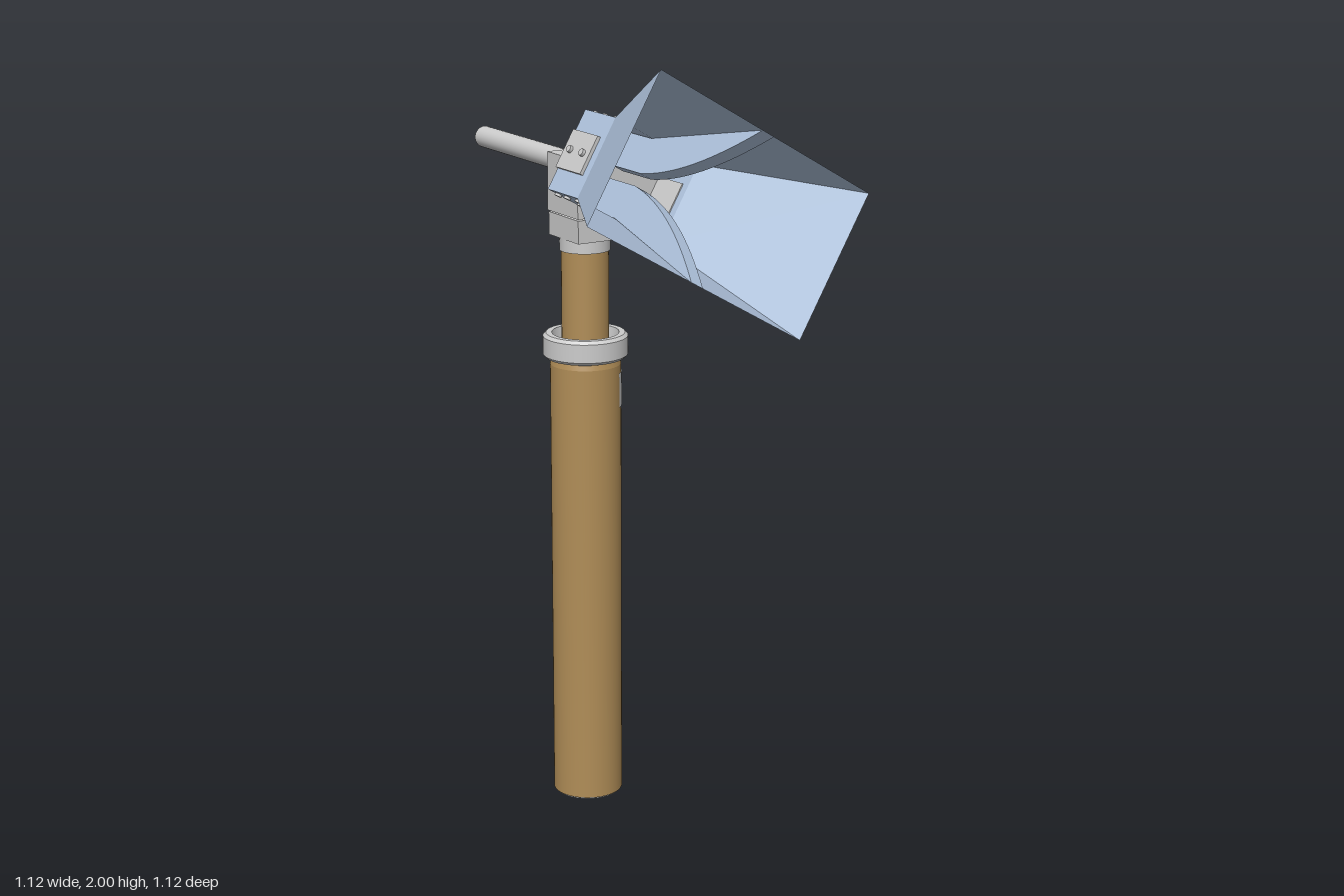
import * as THREE from 'three';

const mat = (color, extra = {}) => new THREE.MeshStandardMaterial({ color, ...extra });
const steel = mat(0xcccccc);
const steelOpen = mat(0xcccccc, { side: THREE.DoubleSide });
const wood = mat(0xb08d57);
const black = mat(0x222222);
const blue = mat(0xb0c4de);
const blueSheet = mat(0xb0c4de, { side: THREE.DoubleSide, flatShading: true });

function add(parent, name, geometry, material, x = 0, y = 0, z = 0) {
  const mesh = new THREE.Mesh(geometry, material);
  mesh.name = name;
  mesh.position.set(x, y, z);
  parent.add(mesh);
  return mesh;
}
const box = (w, h, d) => new THREE.BoxGeometry(w, h, d);
const cyl = (r, h, n = 32) => new THREE.CylinderGeometry(r, r, h, n);

// Rectangular sheet duct through sections [z, halfWidth, halfHeight]
function duct(sections) {
  const ring = ([z, a, b]) => [[-a, -b, z], [a, -b, z], [a, b, z], [-a, b, z]];
  const pos = [];
  for (let i = 0; i + 1 < sections.length; i++) {
    const p = ring(sections[i]), q = ring(sections[i + 1]);
    for (let k = 0; k < 4; k++) {
      const n = (k + 1) % 4;
      pos.push(...p[k], ...p[n], ...q[n], ...p[k], ...q[n], ...q[k]);
    }
  }
  const g = new THREE.BufferGeometry();
  g.setAttribute('position', new THREE.Float32BufferAttribute(pos, 3));
  g.computeVertexNormals();
  return g;
}

// Throat, mouth and back of the horn, along its axis
const BACK = -0.14, MOUTH = 0.404;
const TW = 0.135, TH = 0.106, MW = 0.3325, MH = 0.19;
const wallHeight = z => TH + (MH - TH) * Math.max(0, z) / MOUTH;

function buildHorn() {
  const horn = new THREE.Group();
  horn.name = 'horn';
  add(horn, 'hornWalls', duct([[BACK, TW, TH], [0, TW, TH], [MOUTH, MW, MH]]), blueSheet);
  add(horn, 'backPlate', box(2 * TW - 0.004, 2 * TH - 0.004, 0.01), steel, 0, 0, BACK + 0.006);

  // Tapered ridge profile, drawn with x along the axis
  const shape = new THREE.Shape();
  shape.moveTo(BACK + 0.03, TH - 0.001);
  shape.lineTo(BACK + 0.03, 0.016);
  shape.lineTo(0.02, 0.016);
  shape.quadraticCurveTo(0.2, 0.04, MOUTH, MH);
  shape.lineTo(0, TH - 0.001);
  const ridge = new THREE.ExtrudeGeometry(shape, { depth: 0.036, bevelEnabled: false, curveSegments: 16 });
  ridge.translate(0, 0, -0.018);
  ridge.rotateY(-Math.PI / 2);

  // Upper and lower halves: ridge and screws
  for (const turn of [0, Math.PI]) {
    const half = new THREE.Group();
    half.name = turn ? 'lowerHalf' : 'upperHalf';
    half.rotation.z = turn;
    add(half, 'ridge', ridge, blue);
    const screws = [[0, -0.025], [0, 0.053], [0, 0.141], [0, 0.258], [0, 0.343]];
    for (const s of [-1, 1]) {
      for (const z of [-0.122, -0.079, -0.027]) screws.push([s * 0.112, z]);
      screws.push([s * 0.07, -0.078], [s * 0.045, -0.078]);
    }
    for (const [x, z] of screws) {
      const r = z > 0 ? 0.007 : 0.009;
      const screw = add(half, 'screw', cyl(r, 0.012, 12), steel, x, wallHeight(z), z);
      if (z > 0) screw.rotation.x = -Math.atan2(MH - TH, MOUTH);
    }
    horn.add(half);
  }

  // Side plates with two screws each
  for (const s of [-1, 1]) {
    add(horn, 'sidePlate', box(0.012, 0.1, 0.115), steel, s * (TW + 0.003), 0, -0.08);
    for (const z of [-0.107, -0.049]) {
      add(horn, 'sideScrew', cyl(0.009, 0.012, 12), steel, s * (TW + 0.011), 0, z).rotation.z = Math.PI / 2;
    }
  }

  // Cable connector on the upper face
  const cz = -0.088;
  add(horn, 'connectorBase', box(0.068, 0.022, 0.068), black, 0, TH + 0.011, cz);
  add(horn, 'connectorNut', cyl(0.024, 0.014, 6), steel, 0, TH + 0.029, cz);
  add(horn, 'connectorBarrel', cyl(0.017, 0.07, 20), steel, 0, TH + 0.053, cz);
  for (let i = 0; i < 4; i++) {
    add(horn, 'connectorThread', cyl(0.02, 0.006, 20), steel, 0, TH + 0.044 + i * 0.012, cz);
  }
  return horn;
}

// Eight-lobed knob, axis along x
function buildKnob() {
  const pts = [];
  for (let i = 0; i < 64; i++) {
    const t = i / 64 * Math.PI * 2, r = 0.054 + 0.009 * Math.cos(8 * t);
    pts.push(new THREE.Vector2(r * Math.cos(t), r * Math.sin(t)));
  }
  const g = new THREE.ExtrudeGeometry(new THREE.Shape(pts), {
    depth: 0.014, bevelSize: 0.004, bevelThickness: 0.004, bevelSegments: 2,
  });
  g.rotateY(Math.PI / 2);
  return g;
}

function buildMast() {
  const mast = new THREE.Group();
  mast.name = 'mast';
  const profile = (...p) => new THREE.LatheGeometry(p.map(([x, y]) => new THREE.Vector2(x, y)), 48);
  add(mast, 'outerTube', profile([0.09, 0.004], [0.09, 0.004], [0.09, 1.165], [0.09, 1.165], [0.085, 1.185]), wood);
  add(mast, 'footCap', cyl(0.086, 0.01, 48), steel, 0, 0.005, 0);
  add(mast, 'innerTube', cyl(0.06, 0.32, 40), wood, 0, 1.31, 0);
  add(mast, 'clampRing', profile([0.06, 1.182], [0.1, 1.182], [0.1, 1.182], [0.108, 1.19], [0.108, 1.19],
    [0.108, 1.237], [0.108, 1.237], [0.1, 1.245], [0.1, 1.245], [0.085, 1.245], [0.085, 1.245],
    [0.078, 1.2], [0.078, 1.2], [0.06, 1.2]), steelOpen);
  add(mast, 'topCollar', cyl(0.064, 0.035, 40), steel, 0, 1.475, 0);
  const arc = THREE.MathUtils.degToRad;
  add(mast, 'plate', new THREE.CylinderGeometry(0.0915, 0.0915, 0.09, 24, 1, true, arc(82), arc(85)),
    steelOpen, 0, 1.1, 0);
  return mast;
}

export function createModel() {
  const model = new THREE.Group();
  model.name = 'hornAntennaOnMast';

  const mast = buildMast();
  mast.position.set(-0.175, 0, -0.178);
  model.add(mast);

  // Head: z runs along the horn axis, turned 45 degrees from the front
  const head = new THREE.Group();
  head.name = 'head';
  head.rotation.y = Math.PI / 4;
  model.add(head);

  add(head, 'lowerBlock', box(0.13, 0.058, 0.145), steel, 0.003, 1.519, -0.245);
  add(head, 'upperBlock', box(0.134, 0.147, 0.148), steel, 0.003, 1.6255, -0.245);
  add(head, 'handleRod', cyl(0.028, 0.47), steel, 0.003, 1.665, -0.535).rotation.x = Math.PI / 2;
  add(head, 'hornFlange', cyl(0.05, 0.05), steel, 0.003, 1.665, -0.16).rotation.x = Math.PI / 2;
  add(head, 'knobShaft', cyl(0.018, 0.04, 20), steel, 0.082, 1.62, -0.27).rotation.z = Math.PI / 2;
  add(head, 'knob', buildKnob(), black, 0.095, 1.62, -0.27);

  // Horn rolled 30 degrees about its axis
  const horn = buildHorn();
  horn.position.set(0.005, 1.668, 0);
  horn.rotation.z = -Math.PI / 6;
  head.add(horn);
  return model;
}
